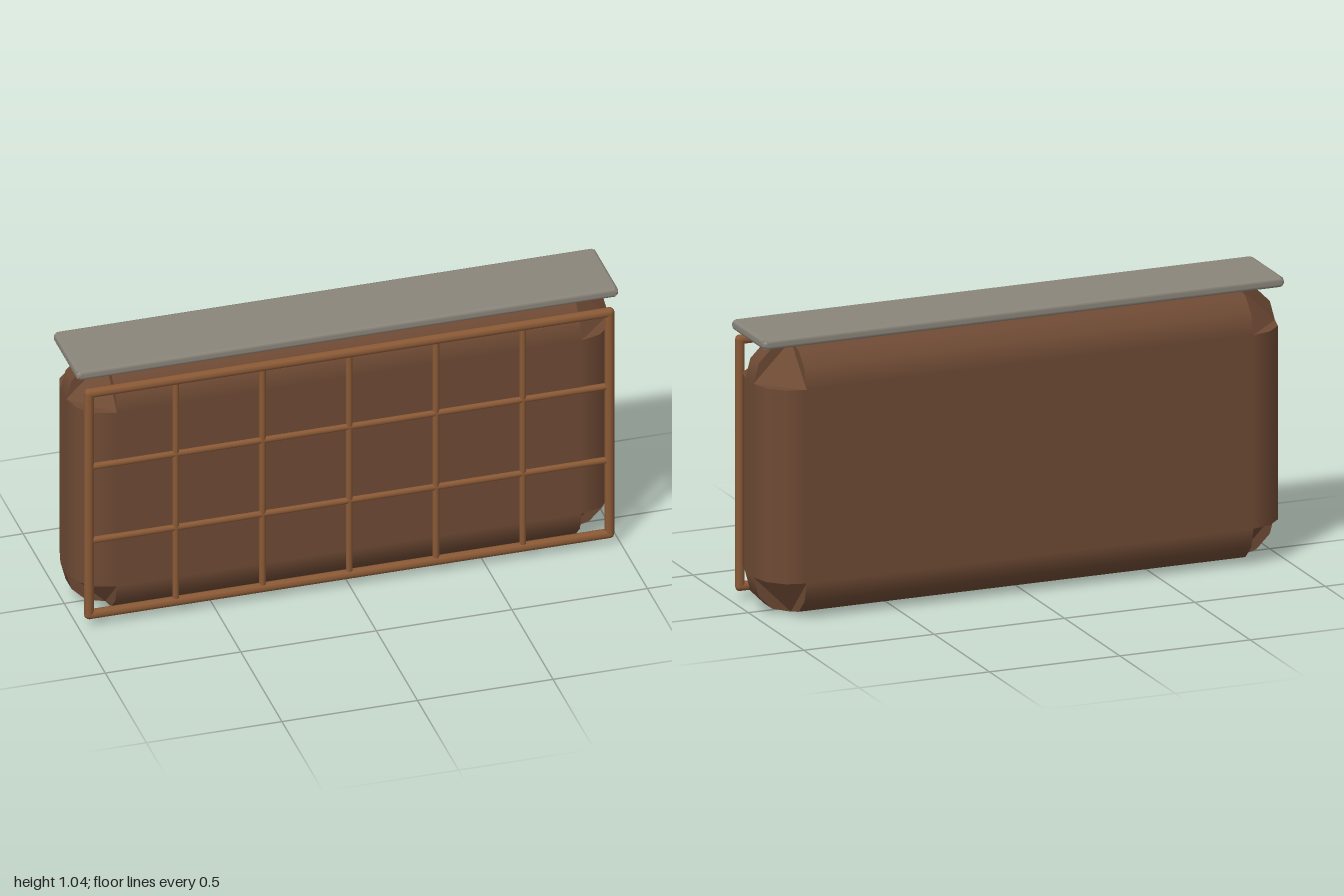
import * as THREE from 'three';

const brown = new THREE.MeshStandardMaterial({ color: 0x6e4a34 });
brown.name = 'dark brown';
const copper = new THREE.MeshStandardMaterial({ color: 0x8b5a36 });
copper.name = 'copper brown';
const stone = new THREE.MeshStandardMaterial({ color: 0x8b867b });
stone.name = 'stone grey';

// Box with rounded edges whose corners are cut off flat between the edge arcs
function cutCornerBox(half, r, segments) {
  const pos = [], nor = [];
  const inner = half.map((h) => h - r);
  const vec = () => new THREE.Vector3();
  // Adds a convex polygon, turned so that it faces along its normals
  const polygon = (points, normals) => {
    for (let i = 1; i < points.length - 1; i++) {
      const ids = [0, i, i + 1];
      const [a, b, c] = ids.map((k) => points[k]);
      const facing = vec().subVectors(b, a).cross(vec().subVectors(c, a)).dot(normals[0]);
      if (facing < 0) ids.reverse();
      for (const k of ids) {
        pos.push(...points[k].toArray());
        nor.push(...normals[k].toArray());
      }
    }
  };
  const flat = (points, n) => polygon(points, points.map(() => n));
  const at = (i, a, j, b, k, c) => vec().setComponent(i, a).setComponent(j, b).setComponent(k, c);

  for (let i = 0; i < 3; i++) {
    const j = (i + 1) % 3, k = (i + 2) % 3;
    for (const s of [-1, 1]) {
      // Flat side
      const corners = [[-1, -1], [1, -1], [1, 1], [-1, 1]];
      flat(corners.map(([u, v]) => at(i, s * half[i], j, u * inner[j], k, v * inner[k])),
        at(i, s, j, 0, k, 0));
      for (const t of [-1, 1]) {
        // Rounded edge running along axis k
        const normals = [];
        for (let n = 0; n <= segments; n++) {
          const angle = (n / segments) * Math.PI / 2;
          normals.push(at(i, s * Math.cos(angle), j, t * Math.sin(angle), k, 0));
        }
        const arc = (end) => normals.map((n) =>
          at(i, s * inner[i], j, t * inner[j], k, end * inner[k]).addScaledVector(n, r));
        const low = arc(-1), high = arc(1);
        for (let n = 0; n < segments; n++) {
          polygon([low[n], low[n + 1], high[n + 1], high[n]],
            [normals[n], normals[n + 1], normals[n + 1], normals[n]]);
        }
        // End caps of the edge
        flat(low, at(i, 0, j, 0, k, -1));
        flat(high, at(i, 0, j, 0, k, 1));
      }
    }
  }
  // Flat corner triangles
  for (const x of [-1, 1]) for (const y of [-1, 1]) for (const z of [-1, 1]) {
    const sign = [x, y, z];
    const points = [0, 1, 2].map((axis) => vec().fromArray(
      sign.map((s, n) => s * (n === axis ? half[n] : inner[n]))));
    flat(points, vec().fromArray(sign).normalize());
  }
  const g = new THREE.BufferGeometry();
  g.setAttribute('position', new THREE.Float32BufferAttribute(pos, 3));
  g.setAttribute('normal', new THREE.Float32BufferAttribute(nor, 3));
  return g;
}

function add(parent, name, geometry, material, x, y, z) {
  const mesh = new THREE.Mesh(geometry, material);
  mesh.name = name;
  mesh.position.set(x, y, z);
  parent.add(mesh);
  return mesh;
}

export function createModel() {
  const model = new THREE.Group();
  model.name = 'model';

  // Body
  add(model, 'body', cutCornerBox([1, 0.5, 0.18], 0.143, 3), brown, 0, 0.5, -0.01);

  // Top slab with chamfered edges
  add(model, 'topSlab', cutCornerBox([1, 0.019, 0.15], 0.014, 2), stone, 0, 1.021, 0.009);

  // Lattice in front of the body
  const lattice = new THREE.Group();
  lattice.name = 'lattice';
  lattice.position.z = 0.17;
  model.add(lattice);
  const rod = (name, radius, length, x, y) =>
    add(lattice, name, new THREE.CylinderGeometry(radius, radius, length, 8), copper, x, y, 0);
  const W = 0.96, bottom = 0.046, top = 0.956;
  const thick = 0.018, thin = 0.0125;

  for (let i = -3; i <= 3; i++) {
    const outer = Math.abs(i) === 3;
    rod(outer ? 'framePost' : 'latticeUpright', outer ? thick : thin, top - bottom,
      i * W / 3, (top + bottom) / 2);
  }
  for (let i = 0; i <= 3; i++) {
    const outer = i === 0 || i === 3;
    rod(outer ? 'frameRail' : 'latticeRail', outer ? thick : thin, 2 * W,
      0, bottom + (top - bottom) * i / 3).rotation.z = Math.PI / 2;
  }
  // Frame corner joints
  for (const x of [-W, W]) for (const y of [bottom, top]) {
    add(lattice, 'frameJoint', new THREE.SphereGeometry(thick, 8, 6), copper, x, y, 0);
  }
  return model;
}
